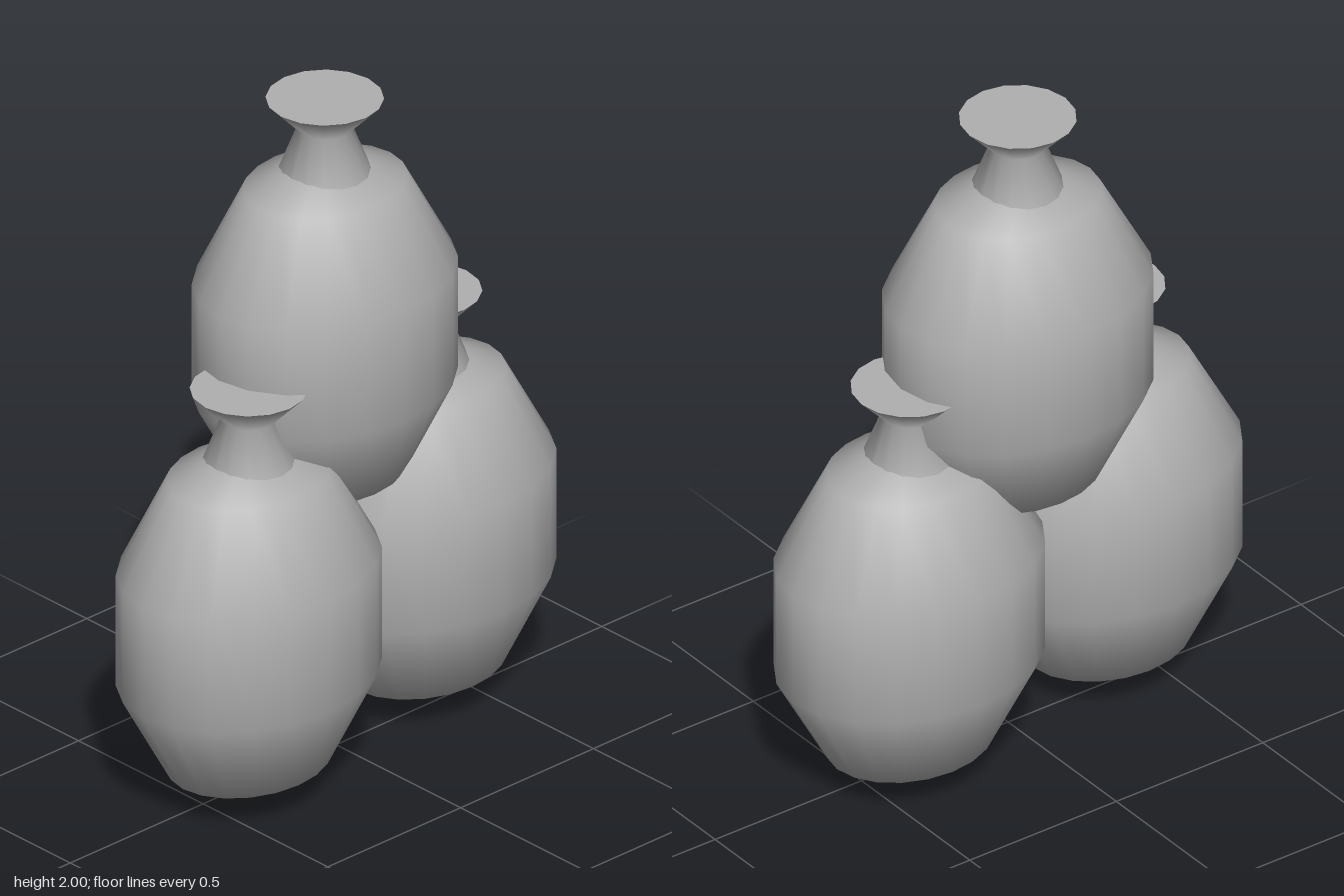
import * as THREE from 'three';

const grey = new THREE.MeshStandardMaterial({ color: 0xb0b0b0 });
grey.name = 'plain grey';

// One tied pouch standing on y = 0: oval body, pinched neck, flat closed mouth
function createPouch(name) {
  const pouch = new THREE.Group();
  pouch.name = name;
  const add = (part, geometry) => {
    const mesh = new THREE.Mesh(geometry, grey);
    mesh.name = part;
    pouch.add(mesh);
  };

  // Coarse oval, five bands high and narrower front to back
  const body = new THREE.SphereGeometry(1, 20, 5);
  body.scale(0.42, 0.555, 0.34);
  body.translate(0, 0.555, 0);
  add('body', body);

  // Neck narrows to the tie, then flares to the mouth
  const profile = [[0.146, 1.0], [0.077, 1.175], [0.163, 1.265]];
  add('neck', new THREE.LatheGeometry(profile.map(p => new THREE.Vector2(...p)), 16));

  const mouth = new THREE.CircleGeometry(0.163, 16);
  mouth.rotateX(-Math.PI / 2);
  mouth.translate(0, 1.265, 0);
  add('mouth', mouth);
  return pouch;
}

export function createModel() {
  const model = new THREE.Group();
  model.name = 'pouchStack';
  const places = [
    ['leftPouch', 0.37, 0, -0.045],
    ['rightPouch', -0.37, 0, 0.045],
    ['topPouch', 0, 0.735, -0.045],
  ];
  for (const [name, x, y, z] of places) {
    const pouch = createPouch(name);
    pouch.position.set(x, y, z);
    model.add(pouch);
  }
  return model;
}
